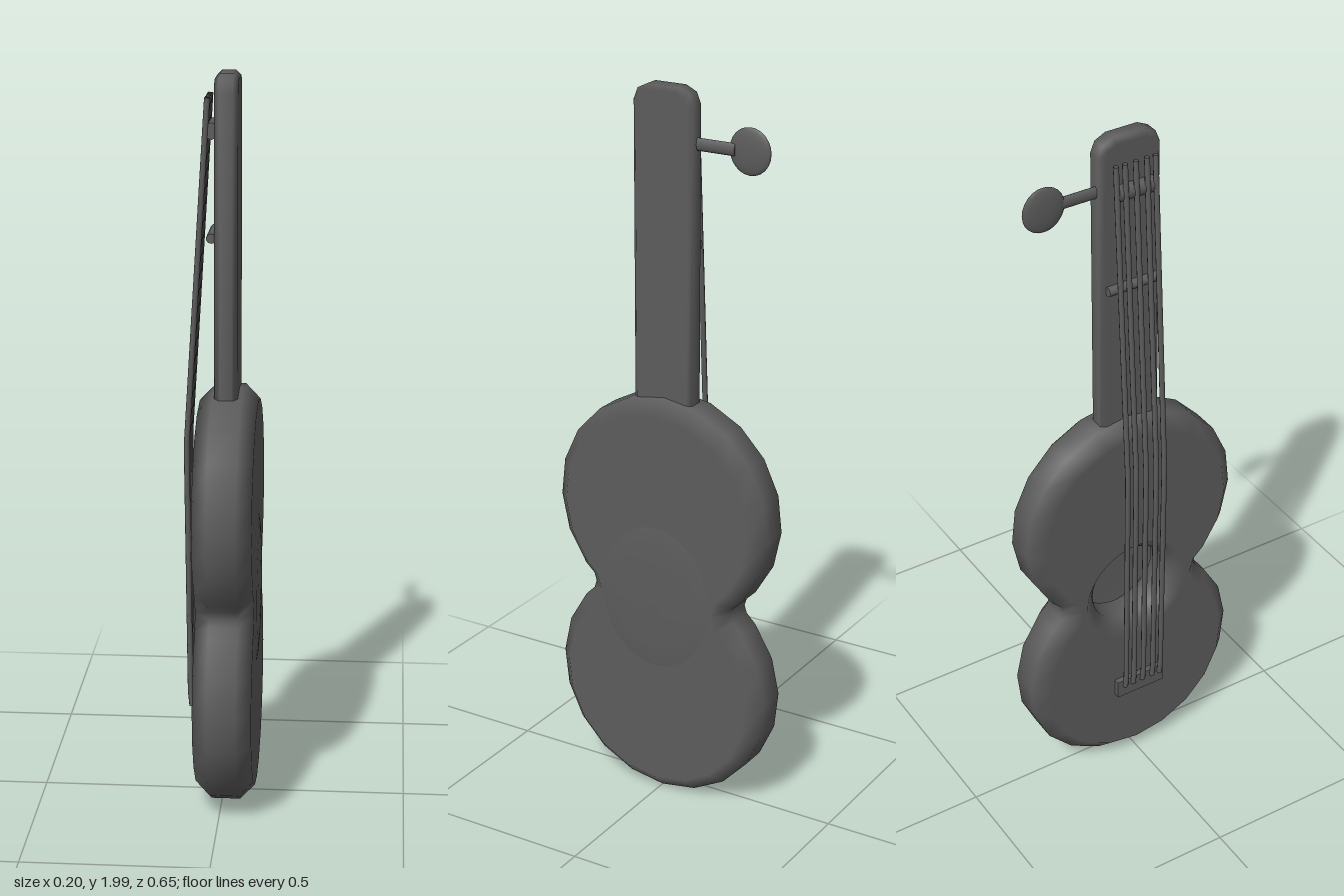
import * as THREE from 'three';
import { toCreasedNormals } from 'three/addons/utils/BufferGeometryUtils.js';

const material = new THREE.MeshStandardMaterial({ color: 0x5c5c5c, side: THREE.DoubleSide });

export function createModel() {
  const model = new THREE.Group();

  const add = (name, geometry, x = 0, y = 0, z = 0) => {
    const mesh = new THREE.Mesh(geometry, material);
    mesh.name = name;
    mesh.position.set(x, y, z);
    model.add(mesh);
    return mesh;
  };

  // Symmetric or mirrored plate drawn as (-z, y), chamfered and extruded along x from x0 to x1
  const plate = (shape, x0, x1, bevel) => {
    const extruded = new THREE.ExtrudeGeometry(shape, {
      depth: x1 - x0 - 2 * bevel, bevelThickness: bevel, bevelSize: bevel,
      bevelOffset: -bevel, bevelSegments: 1, curveSegments: 24,
    });
    extruded.rotateY(Math.PI / 2).translate(x0 + bevel, 0, 0);
    const g = toCreasedNormals(extruded, 1.35);
    // Flat faces stay flat while the chamfer blends softly into them
    const { position, normal } = g.attributes;
    for (let i = 0; i < position.count; i++) {
      const x = position.getX(i);
      if (x < x0 + 1e-4) normal.setXYZ(i, -1, 0, 0);
      else if (x > x1 - 1e-4) normal.setXYZ(i, 1, 0, 0);
    }
    return g;
  };

  // Body: two round lobes meeting at a soft waist, with a round sound hole
  const outline = [];
  const lobe = (cy, from, to) => {
    for (let i = 0; i <= 14; i++) {
      const a = from + (to - from) * i / 14;
      outline.push(new THREE.Vector2(0.324 * Math.cos(a), cy + 0.324 * Math.sin(a)));
    }
  };
  const waist = (side, dir) => {
    for (const [z, y] of [[0.221, -0.022], [0.214, 0], [0.221, 0.022]]) {
      outline.push(new THREE.Vector2(side * z, 0.588 + dir * y));
    }
  };
  lobe(0.844, -0.7, Math.PI + 0.7);
  waist(-1, -1);
  lobe(0.331, Math.PI - 0.7, 2 * Math.PI + 0.7);
  waist(1, 1);
  const bodyShape = new THREE.Shape(outline);
  const hole = new THREE.Path();
  hole.absarc(0, 0.6, 0.12, 0, Math.PI * 2, true);
  bodyShape.holes.push(hole);
  add('body', plate(bodyShape, -0.065, 0.092, 0.04));

  // Shallow dome closing the sound hole at the back
  const dome = new THREE.LatheGeometry([
    [0.172, 0.0915], [0.15, 0.0945], [0.12, 0.0965], [0.06, 0.098], [0, 0.0985],
  ].map(([r, h]) => new THREE.Vector2(r, h)), 32);
  dome.rotateZ(-Math.PI / 2).scale(1, 1.22, 1);
  add('soundHoleBottom', dome, 0, 0.605, 0);

  // Neck with clipped top corners
  const neckShape = new THREE.Shape([
    [-0.097, 1.08], [0.08, 1.08], [0.08, 1.955], [0.068, 1.985], [0.037, 2],
    [-0.054, 2], [-0.085, 1.985], [-0.097, 1.955],
  ].map(([z, y]) => new THREE.Vector2(z, y)));
  add('neck', plate(neckShape, -0.02, 0.042, 0.013));

  // Bars carrying the strings
  const bar = new THREE.CylinderGeometry(1, 1, 1, 10).rotateX(Math.PI / 2);
  add('upperNut', bar, -0.028, 1.855, 0.012).scale.set(0.02, 0.022, 0.11);
  add('lowerNut', bar, -0.027, 1.58, 0.008).scale.set(0.014, 0.013, 0.15);
  add('bridge', new THREE.BoxGeometry(0.03, 0.055, 0.15), -0.066, 0.272, 0.002);

  // Strings: two straight runs with a slight bend above the body
  for (const z of [-0.049, -0.023, 0.008, 0.04, 0.065]) {
    const points = [[-0.083, 0.28], [-0.087, 0.32], [-0.095, 1.02], [-0.039, 1.94]]
      .map(([x, y]) => new THREE.Vector3(x, y, z));
    const path = new THREE.CurvePath();
    for (let i = 0; i < 3; i++) path.add(new THREE.LineCurve3(points[i], points[i + 1]));
    add('string', new THREE.TubeGeometry(path, 40, 0.0075, 8));
  }

  // Tuning peg on the side of the neck
  const shaft = new THREE.CylinderGeometry(1, 1, 0.14, 12).rotateX(Math.PI / 2);
  add('pegShaft', shaft, 0.007, 1.855, -0.12).scale.set(0.009, 0.017, 1);
  add('pegKnob', new THREE.SphereGeometry(1, 16, 12), 0.003, 1.855, -0.23)
    .scale.set(0.011, 0.062, 0.06);

  return model;
}
